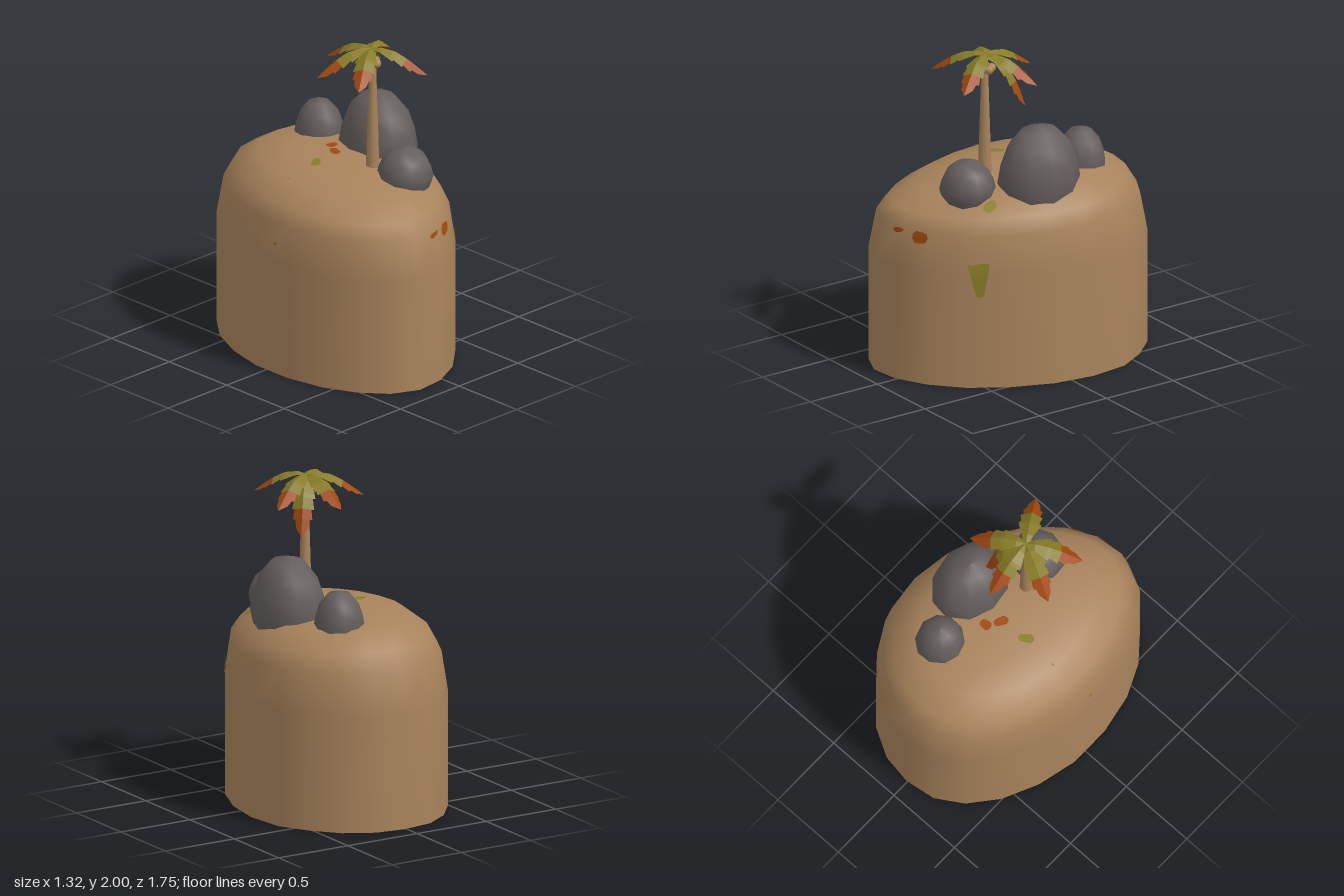
import * as THREE from 'three';

const mat = (name, color, side = THREE.FrontSide) => {
  const m = new THREE.MeshStandardMaterial({ color, side });
  m.name = name;
  return m;
};
const earth = mat('earth', 0xa8835b, THREE.DoubleSide);
const stone = mat('stone', 0x635d5b);
const green = mat('leafGreen', 0x877b26, THREE.DoubleSide);
const orange = mat('leafOrange', 0xa0480f, THREE.DoubleSide);

function mesh(name, geometry, material, parent) {
  const m = new THREE.Mesh(geometry, material);
  m.name = name;
  parent.add(m);
  return m;
}

function build(positions, index) {
  const g = new THREE.BufferGeometry();
  g.setAttribute('position', new THREE.Float32BufferAttribute(positions, 3));
  g.setIndex(index);
  g.computeVertexNormals();
  return g;
}

// Plan of the mound (x, z) and its rings (scale, height, forward slope)
const OUTLINE = [
  [0.01, -0.88], [0.2, -0.85], [0.38, -0.75], [0.52, -0.59], [0.625, -0.405], [0.655, -0.15], [0.615, 0.115],
  [0.51, 0.375], [0.365, 0.595], [0.18, 0.76], [-0.015, 0.855], [-0.21, 0.875], [-0.38, 0.795], [-0.515, 0.635],
  [-0.61, 0.43], [-0.66, 0.175], [-0.66, -0.095], [-0.6, -0.35], [-0.495, -0.575], [-0.355, -0.745], [-0.19, -0.85],
];
const RINGS = [
  [1, 0, 0], [1, 0.73, 0], [0.945, 0.98, 0], [0.86, 1.08, 0.03],
  [0.67, 1.175, 0.05], [0.4, 1.215, 0.04], [0.15, 1.228, 0.02],
];

function moundGeometry() {
  const n = OUTLINE.length, pos = [], idx = [];
  for (const [s, y, slope] of RINGS)
    for (const [x, z] of OUTLINE) pos.push(x * s, y - slope * z * s, z * s);
  for (let r = 0; r < RINGS.length - 1; r++)
    for (let i = 0; i < n; i++) {
      const a = r * n + i, b = r * n + (i + 1) % n;
      idx.push(a, a + n, b, b, a + n, b + n);
    }
  const last = (RINGS.length - 1) * n;
  pos.push(0, 1.23, 0);
  for (let i = 0; i < n; i++) idx.push(last + i, last + n, last + (i + 1) % n);
  return build(pos, idx);
}

// Domed boulder
const ROCK = [[0.75, -0.5], [0.92, -0.1], [1, 0.13], [0.92, 0.42], [0.76, 0.7], [0.44, 0.93], [0, 1]];
function boulder(name, x, y, z, rx, h, rz, turn, parent) {
  const g = new THREE.LatheGeometry(ROCK.map(p => new THREE.Vector2(...p)), 10);
  g.rotateY(turn);
  g.scale(rx, h, rz);
  return mesh(name, g, stone, parent).position.set(x, y, z);
}

// Serrated leaf: (distance along, half width); each notch is a sudden narrowing
const LEAF = [
  [0, 0.012], [0.15, 0.036], [0.36, 0.066], [0.42, 0.07], [0.43, 0.056], [0.6, 0.068],
  [0.61, 0.052], [0.75, 0.06], [0.76, 0.044], [0.88, 0.036], [1, 0.003],
];
const TIP_START = 5;
function leafGeometry(curve, from, to) {
  const pos = [], idx = [];
  LEAF.slice(from, to + 1).forEach(([t, w], i) => {
    const p = curve.getPointAt(t), d = curve.getTangentAt(t);
    const drop = w * 0.5;
    // rim hangs below the ridge, square to the leaf direction
    const y = p.y - d.z * drop, z = p.z + d.y * drop;
    pos.push(-w, y, z, p.x, p.y, p.z, w, y, z);
    if (i > 0) {
      const a = (i - 1) * 3;
      for (const k of [a, a + 1]) idx.push(k, k + 3, k + 1, k + 1, k + 3, k + 4);
    }
  });
  const g = build(pos, idx).toNonIndexed();
  g.computeVertexNormals();
  return g;
}

function palm() {
  const tree = new THREE.Group();
  tree.name = 'palmTree';
  tree.position.set(0.025, 0, 0.21);
  const trunk = mesh('trunk', new THREE.CylinderGeometry(0.019, 0.042, 0.76, 10), earth, tree);
  trunk.position.set(0.005, 1.58, 0.008);
  for (let i = 0; i < 5; i++) {
    const a = i * Math.PI * 0.4 + 0.3;
    const nut = mesh('coconut', new THREE.SphereGeometry(0.029, 10, 8), earth, tree);
    nut.position.set(Math.sin(a) * 0.038, 1.895, Math.cos(a) * 0.038);
  }
  const path = pts => new THREE.CatmullRomCurve3(pts.map(([r, y]) => new THREE.Vector3(0, y, r)));
  const spread = path([[0, 1.99], [0.06, 2], [0.13, 1.988], [0.2, 1.955], [0.28, 1.9], [0.35, 1.845]]);
  const droop = path([[0, 1.975], [0.08, 1.955], [0.15, 1.89], [0.2, 1.79], [0.245, 1.66]]);
  // leaf directions (x, z)
  const leaves = [
    [-0.025, -0.35, spread], [-0.31, -0.14, spread], [-0.285, 0.185, spread],
    [0.19, 0.295, spread], [0.31, -0.165, spread], [0.16, -0.19, droop],
  ];
  for (const [x, z, curve] of leaves) {
    const leaf = new THREE.Group();
    leaf.name = 'palmLeaf';
    leaf.rotation.y = Math.atan2(x, z);
    mesh('leafBase', leafGeometry(curve, 0, TIP_START), green, leaf);
    mesh('leafTip', leafGeometry(curve, TIP_START, LEAF.length - 1), orange, leaf);
    tree.add(leaf);
  }
  return tree;
}

// Flat patch laid onto the mound: rim points (u, v) are cast along dir
function patch(name, material, mound, center, dir, rim, parent) {
  const d = new THREE.Vector3(...dir).normalize();
  const up = Math.abs(d.y) > 0.9 ? new THREE.Vector3(0, 0, -1) : new THREE.Vector3(0, 1, 0);
  const right = new THREE.Vector3().crossVectors(d, up).normalize();
  const v = new THREE.Vector3().crossVectors(right, d);
  const pos = [], idx = [], n = rim.length;
  const drop = (a, b) => {
    const o = new THREE.Vector3(...center).addScaledVector(right, a).addScaledVector(v, b).addScaledVector(d, -1);
    const hit = new THREE.Raycaster(o, d).intersectObject(mound)[0];
    const p = hit ? hit.point.addScaledVector(d, -0.007) : o.addScaledVector(d, 1);
    pos.push(p.x, p.y, p.z);
  };
  drop(0, 0);
  for (const s of [0.5, 1]) for (const [a, b] of rim) drop(a * s, b * s);
  for (let i = 0; i < n; i++) {
    const a = 1 + i, b = 1 + (i + 1) % n;
    idx.push(0, a, b, a, a + n, b, b, a + n, b + n);
  }
  mesh(name, build(pos, idx), material, parent);
}
const blob = (w, h, turn = 0) => Array.from({ length: 9 }, (_, i) => {
  const a = i * Math.PI * 2 / 9, k = 1 + 0.1 * Math.sin(i * 2.4);
  const x = Math.cos(a) * w * k, y = Math.sin(a) * h * k;
  return [x * Math.cos(turn) - y * Math.sin(turn), x * Math.sin(turn) + y * Math.cos(turn)];
});

export function createModel() {
  const model = new THREE.Group();
  model.name = 'islandWithPalm';
  const mound = mesh('mound', moundGeometry(), earth, model);
  mound.updateMatrixWorld(true);

  boulder('largeBoulder', 0.29, 1.16, 0, 0.22, 0.4, 0.268, 0.2, model);
  boulder('frontBoulder', 0.118, 1.16, 0.41, 0.175, 0.205, 0.172, 0.1, model);
  boulder('backBoulder', 0.175, 1.16, -0.395, 0.156, 0.26, 0.156, 0.3, model);
  model.add(palm());

  // Fallen leaf patches on the cliff and on the top
  const streak = [[-0.07, 0.1], [-0.03, 0.1], [0.02, 0.11], [0.068, 0.105], [0.06, 0.04],
    [0.035, -0.1], [-0.005, -0.11], [-0.03, -0.04], [-0.045, 0.04]];
  patch('cliffStreak', green, mound, [0.4, 0.7, 0.53], [-0.8, 0, -0.6], streak, model);
  patch('cliffPatch', orange, mound, [0.11, 0.94, 0.77], [0, 0, -1], blob(0.05, 0.04), model);
  patch('cliffPatch', orange, mound, [-0.035, 0.96, 0.8], [0, 0, -1], blob(0.043, 0.016, 0.2), model);
  patch('cliffPatch', green, mound, [-0.64, 0.85, 0.06], [1, 0, 0], blob(0.015, 0.012), model);
  patch('topPatch', green, mound, [0.32, 1.1, 0.385], [0, -1, 0], blob(0.032, 0.045), model);
  patch('topPatch', green, mound, [-0.205, 1.2, -0.035], [0, -1, 0], blob(0.053, 0.03, 0.6), model);
  patch('topPatch', green, mound, [-0.43, 1.2, -0.04], [0, -1, 0], blob(0.01, 0.008), model);
  patch('topPatch', orange, mound, [0.035, 1.2, -0.14], [0, -1, 0], blob(0.04, 0.032), model);
  patch('topPatch', orange, mound, [-0.02, 1.2, -0.06], [0, -1, 0], blob(0.05, 0.03, 1.1), model);
  return model;
}
